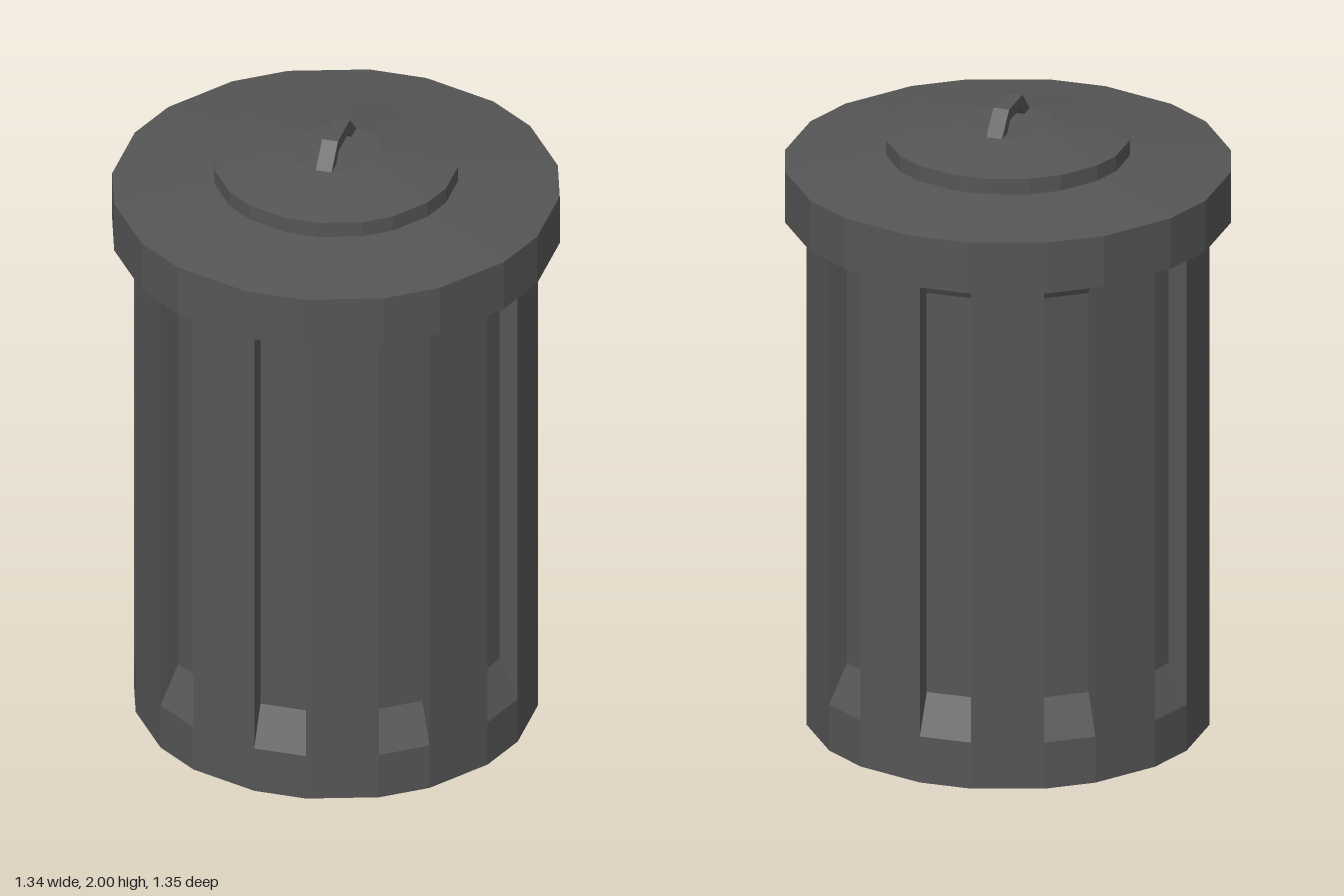
import * as THREE from 'three';

const FLUTES = 10;
const HALF = THREE.MathUtils.degToRad(7.6); // half angle of one flute

// Ring around the axis: each flute has an outer edge, two inner corners pushed
// in by `depth` along the flute's direction, and a second outer edge.
function ring([radius, y, depth = 0]) {
  const points = [];
  for (let i = 0; i < FLUTES; i++) {
    const mid = (i / FLUTES) * Math.PI * 2;
    for (const [side, inset] of [[-1, 0], [-1, depth], [1, depth], [1, 0]]) {
      const a = mid + side * HALF;
      points.push(new THREE.Vector3(
        radius * Math.sin(a) - inset * Math.sin(mid),
        y,
        radius * Math.cos(a) - inset * Math.cos(mid)));
    }
  }
  return points;
}

// Joins rings listed along the profile, leaving out empty triangles.
function loft(profile) {
  const rings = profile.map(ring);
  const positions = [];
  const triangle = (a, b, c) => {
    const area = b.clone().sub(a).cross(c.clone().sub(a)).length();
    if (area > 1e-8) for (const p of [a, b, c]) positions.push(p.x, p.y, p.z);
  };
  for (let k = 0; k < rings.length - 1; k++) {
    const low = rings[k], high = rings[k + 1];
    for (let i = 0; i < low.length; i++) {
      const j = (i + 1) % low.length;
      triangle(low[i], low[j], high[j]);
      triangle(low[i], high[j], high[i]);
    }
  }
  const geometry = new THREE.BufferGeometry();
  geometry.setAttribute('position', new THREE.Float32BufferAttribute(positions, 3));
  geometry.computeVertexNormals();
  return geometry;
}

export function createModel() {
  const group = new THREE.Group();
  group.name = 'trashCan';
  const darkGrey = new THREE.MeshStandardMaterial({ color: 0x555555 });
  darkGrey.name = 'darkGrey';
  darkGrey.flatShading = true;

  const add = (name, geometry) => {
    const mesh = new THREE.Mesh(geometry, darkGrey);
    mesh.name = name;
    group.add(mesh);
    return mesh;
  };

  // Fluted body: plain foot band, sloped flute ends, closed bottom
  const R = 0.615, D = 0.067;
  add('body', loft([[0, 0], [R, 0], [R, 0.15], [R, 0.27, D], [R, 1.57, D], [R, 1.69], [R, 1.72]]));

  // Lid: deep rim, shallow slope, raised centre
  add('lid', loft([
    [0.55, 1.64], [0.681, 1.64], [0.681, 1.805], [0.372, 1.842],
    [0.372, 1.892], [0.14, 1.93], [0, 1.93],
  ]));

  // Handle: bent strap extruded across x
  const strap = new THREE.Shape([
    [-0.14, 1.925], [-0.088, 1.925], [-0.056, 1.962], [0.056, 1.962],
    [0.088, 1.925], [0.14, 1.925], [0.065, 2], [-0.065, 2],
  ].map(([z, y]) => new THREE.Vector2(z, y)));
  const handle = new THREE.ExtrudeGeometry(strap, { depth: 0.05, bevelEnabled: false });
  handle.translate(0, 0, -0.025);
  handle.rotateY(Math.PI / 2);
  add('handle', handle);

  return group;
}
